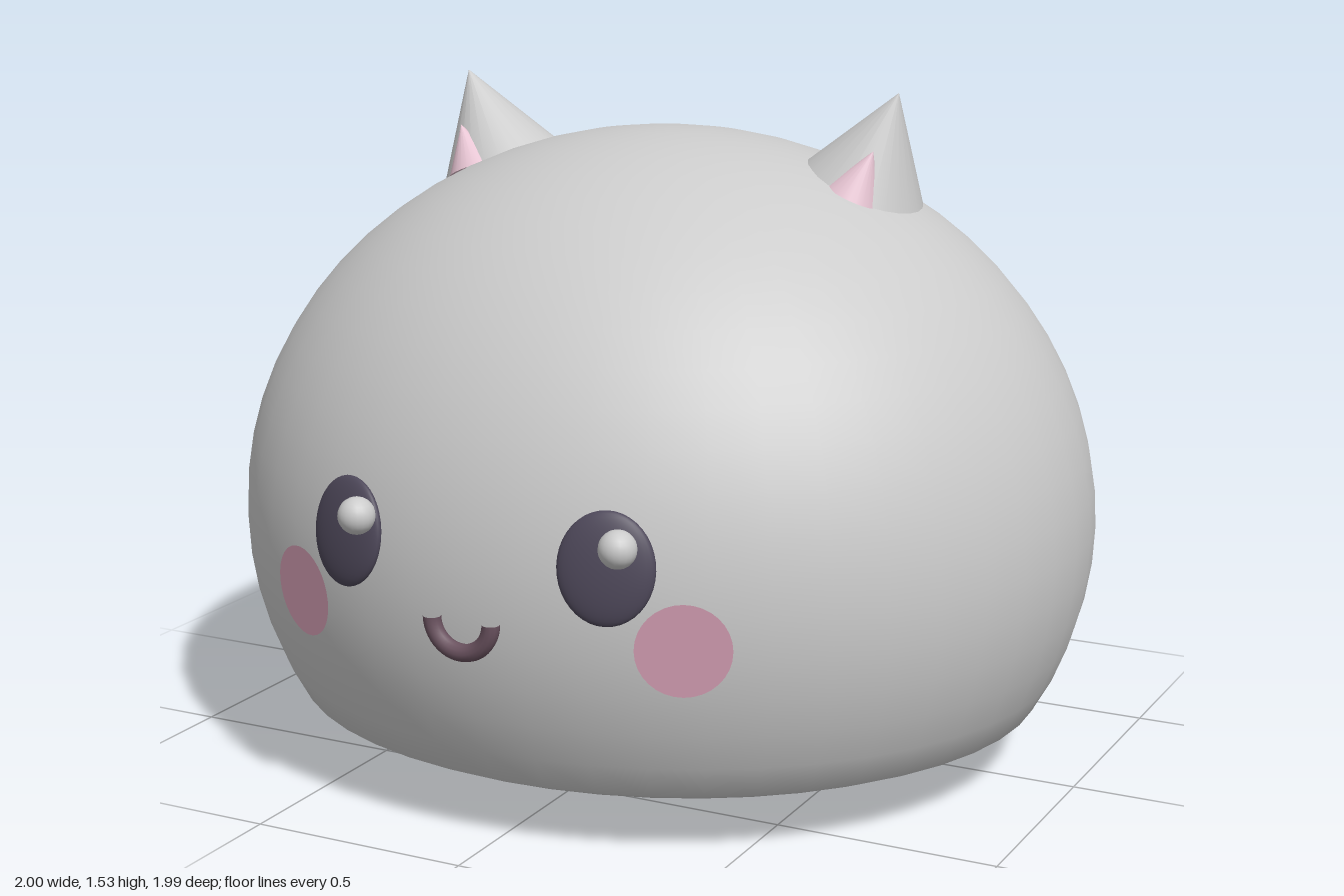
import * as THREE from 'three';
import { mergeVertices } from 'three/addons/utils/BufferGeometryUtils.js';

const mat = (color, extra = {}) => new THREE.MeshStandardMaterial({ color, ...extra });
const V = (x, y, z) => new THREE.Vector3(x, y, z);

// Body ellipsoid
const C = V(0, 0.55, 0.04), R = V(1, 0.88, 0.92);

// Point on the front of the body, and the outward direction there
function onFront(x, y) {
  const u = x / R.x, v = (y - C.y) / R.y;
  const p = V(x, y, C.z + R.z * Math.sqrt(1 - u * u - v * v));
  const n = p.clone().sub(C).divide(R).divide(R).normalize();
  return { p, n };
}

export function createModel() {
  const model = new THREE.Group();
  const grey = mat(0xcccccc);
  const eyeDark = mat(0x4e485a), mouthDark = mat(0x6a525f);
  const blush = mat(0xd59fb4, { side: THREE.DoubleSide }), earPink = mat(0xe6c4d2);

  const add = (name, geometry, material, parent = model) => {
    const mesh = new THREE.Mesh(geometry, material);
    mesh.name = name;
    parent.add(mesh);
    return mesh;
  };

  // Body: ellipsoid with its underside squashed to a shallow bowl
  let body = new THREE.SphereGeometry(1, 48, 32);
  body.scale(R.x, R.y, R.z).translate(C.x, C.y, C.z);
  const pos = body.attributes.position, floor = 0.14;
  for (let i = 0; i < pos.count; i++) {
    const y = pos.getY(i);
    if (y < floor) pos.setY(i, floor + (y - floor) * 0.3);
  }
  body.deleteAttribute('uv');
  body.deleteAttribute('normal');
  body = mergeVertices(body);
  body.computeVertexNormals();
  add('body', body, grey);

  // Cone from a base centre to a tip
  const cone = (name, base, tip, radius, material) => {
    const axis = tip.clone().sub(base), h = axis.length();
    const mesh = add(name, new THREE.ConeGeometry(radius, h, 24).translate(0, h / 2, 0), material);
    mesh.position.copy(base);
    mesh.quaternion.setFromUnitVectors(V(0, 1, 0), axis.normalize());
  };

  // Turns a flat part to lie on the front of the body
  const stick = (mesh, x, y, lift) => {
    const { p, n } = onFront(x, y);
    mesh.position.copy(p).addScaledVector(n, lift);
    mesh.lookAt(mesh.position.clone().add(n));
  };

  for (const [side, s] of [['left', 1], ['right', -1]]) {
    cone(side + 'Ear', V(0.465 * s, 1.322, -0.007), V(0.547 * s, 1.53, 0), 0.14, grey);
    cone(side + 'InnerEar', V(0.48 * s, 1.31, 0.09), V(0.522 * s, 1.41, 0.08), 0.062, earPink);

    const eye = add(side + 'Eye', new THREE.SphereGeometry(1, 32, 20).scale(0.102, 0.118, 0.025), eyeDark);
    stick(eye, 0.305 * s, 0.66, 0.007);

    // Both highlights sit toward the same side
    const glint = add(side + 'EyeHighlight', new THREE.SphereGeometry(0.04, 20, 14), grey);
    glint.position.set(0.3 * s + 0.042, 0.71, s > 0 ? 0.932 : 0.955);

    const cheek = add(side + 'Cheek', new THREE.CircleGeometry(0.1, 32), blush);
    stick(cheek, 0.452 * s, 0.497, 0.012);
  }

  // Mouth: lower half ring
  const mouth = add('mouth', new THREE.TorusGeometry(0.07, 0.019, 12, 24, Math.PI), mouthDark);
  mouth.rotation.z = Math.PI;
  mouth.position.set(0, 0.525, 0.97);

  // Tail: short bent tube with a flat end
  const path = new THREE.CatmullRomCurve3([
    V(0.508, 0.705, -0.66), V(0.508, 0.69, -0.76), V(0.508, 0.64, -0.865), V(0.508, 0.545, -0.942),
  ]);
  const tail = new THREE.Group();
  tail.name = 'tail';
  model.add(tail);
  add('tailTube', new THREE.TubeGeometry(path, 24, 0.063, 20), grey, tail);
  const end = add('tailEnd', new THREE.CircleGeometry(0.063, 20), grey, tail);
  end.position.copy(path.getPoint(1));
  end.lookAt(end.position.clone().add(path.getTangent(1)));

  return model;
}
